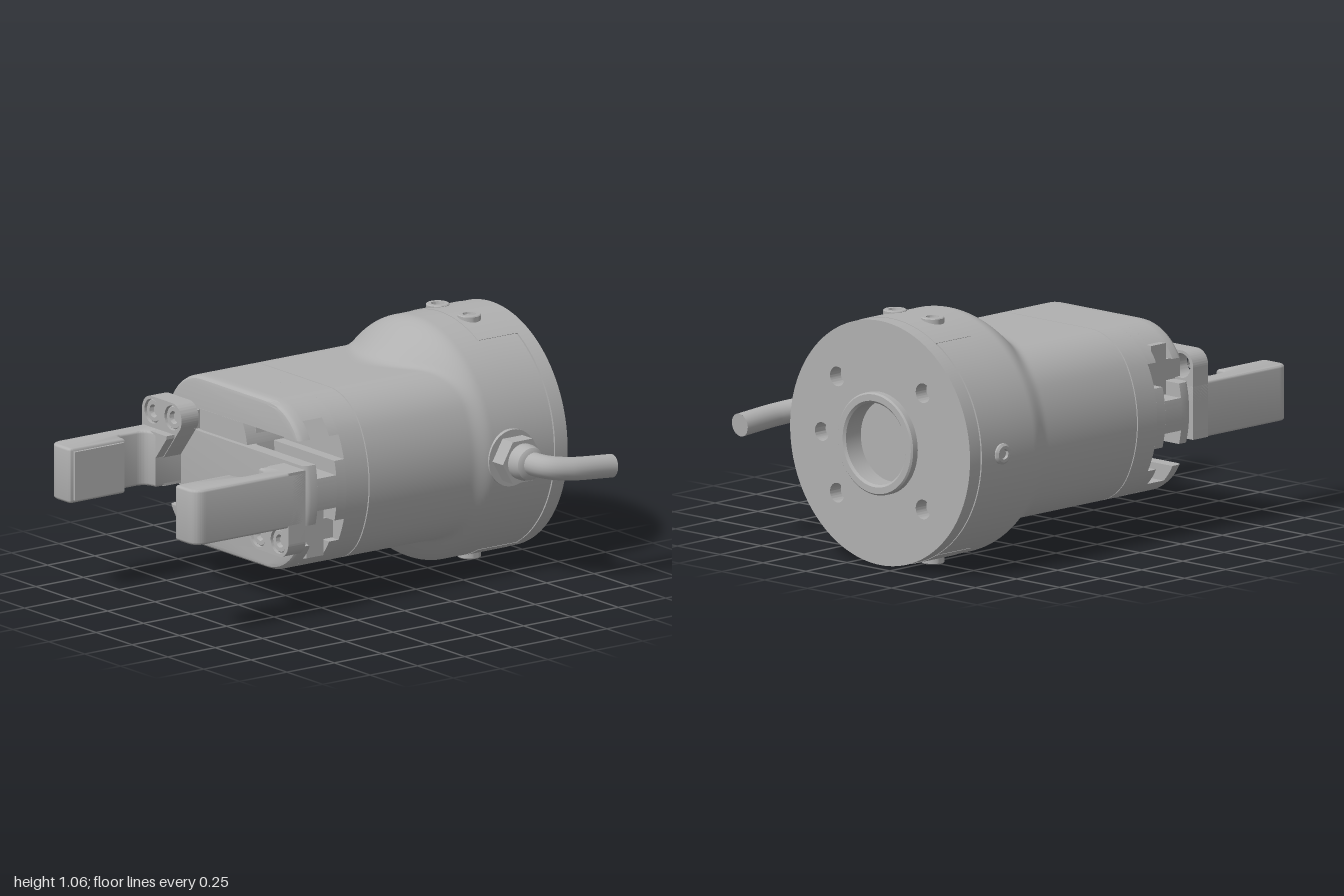
import * as THREE from 'three';
import { toCreasedNormals } from 'three/addons/utils/BufferGeometryUtils.js';

// Body section: circle of radius R cut by flats at +-H, blended with fillets F
const R = 0.508, H = 0.37, F = 0.25;
const CX = Math.sqrt((R - F) ** 2 - (H - F) ** 2), CY = H - F;

function sectionRadius(a) {
  const c = Math.abs(Math.cos(a)), s = Math.abs(Math.sin(a));
  const t = Math.atan2(s, c);
  if (t < Math.atan2(CY, CX)) return R;
  if (t > Math.atan2(H, CX)) return H / s;
  const d = CX * c + CY * s;
  return d + Math.sqrt(d * d - CX * CX - CY * CY + F * F);
}

// Half width of the section, shrunk by e, at height y
function halfWidth(y, e) {
  const a = Math.abs(y), f = F - e;
  if (a <= CY * R / (R - F)) return Math.sqrt((R - e) ** 2 - a * a);
  return CX + Math.sqrt(Math.max(0, f * f - (a - CY) ** 2));
}

// Closed skin over rings of equal length that run anticlockwise seen from +z
function loft(rings, crease = 0.5) {
  const n = rings[0].length, pos = rings.flat().flat(), idx = [];
  for (let i = 0; i < rings.length - 1; i++) {
    for (let j = 0; j < n; j++) {
      const a = i * n + j, b = i * n + (j + 1) % n;
      idx.push(a, b, b + n, a, b + n, a + n);
    }
  }
  const top = (rings.length - 1) * n;
  for (let j = 1; j < n - 1; j++) idx.push(0, j + 1, j, top, top + j, top + j + 1);
  const g = new THREE.BufferGeometry();
  g.setAttribute('position', new THREE.Float32BufferAttribute(pos, 3));
  g.setIndex(idx);
  return toCreasedNormals(g, crease);
}

function extrude(shape, z0, z1, bevel = 0) {
  const g = new THREE.ExtrudeGeometry(shape, {
    depth: z1 - z0 - 2 * bevel, curveSegments: 24, bevelEnabled: bevel > 0,
    bevelSize: bevel, bevelThickness: bevel, bevelOffset: -bevel, bevelSegments: 3,
  });
  g.translate(0, 0, z0 + bevel);
  return toCreasedNormals(g, 0.6);
}

function lathe(points, segments = 32) {
  return toCreasedNormals(new THREE.LatheGeometry(points.map(p => new THREE.Vector2(...p)), segments), 0.6);
}

function circlePath(x, y, r) {
  return new THREE.Path().absarc(x, y, r, 0, Math.PI * 2, true);
}

export function createModel() {
  const metal = new THREE.MeshStandardMaterial({ color: 0xb0b0b0 });
  metal.name = 'grey metal';
  const model = new THREE.Group();
  model.name = 'gripper';
  const core = new THREE.Group();
  core.name = 'gripperCore';
  core.position.set(-0.15, 0.53, 0);
  model.add(core);
  const add = (parent, name, geo) => {
    const m = new THREE.Mesh(geo, metal);
    m.name = name;
    parent.add(m);
    return m;
  };

  // Housing: flattened tube merging into a round, tapering rear
  const stations = [[-0.89, 0.01], [-0.883, 0.01], [-0.883, 0], [-0.72, 0]];
  for (let z = -0.57; z < -0.22; z += 0.0125) stations.push([z, 0]);
  stations.push([0, 0], [0.077, 0], [0.078, 0.006], [0.082, 0.006], [0.083, 0], [0.2, 0]);
  add(core, 'housing', loft(stations.map(([z, e]) => {
    const cone = 0.525 - 0.17 * THREE.MathUtils.smoothstep(z, -0.565, -0.24);
    const ring = [];
    for (let i = 0; i < 144; i++) {
      const a = i / 144 * Math.PI * 2, s = sectionRadius(a), k = 0.02;
      const blend = Math.max(k - Math.abs(s - cone), 0) / k;
      const r = Math.max(s, cone) + blend * blend * k / 4 - e;
      ring.push([r * Math.cos(a), r * Math.sin(a), z]);
    }
    return ring;
  })));

  // Front end: bands that leave two cross-shaped slide channels
  const band = (y0, y1, zs) => loft(zs.map(([z, e]) => {
    const right = [];
    for (let i = 0; i <= 20; i++) {
      const lim = H - e;
      const y = THREE.MathUtils.clamp(y0 + (y1 - y0) * (0.5 - 0.5 * Math.cos(i / 20 * Math.PI)), -lim, lim);
      right.push([halfWidth(y, e), y, z]);
    }
    return [...right, ...right.slice().reverse().map(([x, y]) => [-x, y, z])];
  }));
  const frontEdge = [[0.35, 0], [0.385, 0], [0.398, 0.004], [0.407, 0.012], [0.41, 0.024]];
  for (const [y0, y1] of [[-H, -0.23], [-0.13, 0.13], [0.23, H]]) {
    add(core, 'frontInnerBand', band(y0, y1, [[0.2, 0], [0.25, 0]]));
    add(core, 'frontOuterBand', band(y0, y1, frontEdge));
  }
  for (const [y0, y1] of [[-H, -0.3], [-0.07, 0.07], [0.3, H]]) {
    add(core, 'frontMiddleBand', band(y0, y1, [[0.25, 0], [0.35, 0]]));
  }

  // Rear flange with bolt holes and a centring ring
  const disc = new THREE.Shape().absarc(0, 0, 0.525, 0, Math.PI * 2);
  disc.holes.push(circlePath(0, 0, 0.176), circlePath(0.34, 0, 0.04));
  for (const x of [-0.25, 0.25]) for (const y of [-0.25, 0.25]) disc.holes.push(circlePath(x, y, 0.042));
  const flange = new THREE.ExtrudeGeometry(disc, { depth: 0.065, bevelEnabled: false, curveSegments: 72 });
  flange.translate(0, 0, -0.955);
  add(core, 'rearFlange', toCreasedNormals(flange, 0.6));
  const ring = lathe([[0.22, 0], [0.22, 0.028], [0.213, 0.035], [0.185, 0.035], [0.175, 0.025], [0.175, -0.065]], 64);
  add(core, 'centringRing', ring.rotateX(-Math.PI / 2)).position.z = -0.955;

  // Socket screw with its top at y = 0
  const screwGeo = lathe([[0.05, -0.05], [0.05, -0.004], [0.046, 0], [0.028, 0], [0.024, -0.02], [0, -0.02]]);
  const frontScrewGeo = screwGeo.clone().rotateX(Math.PI / 2);

  // Curved flange tabs with two screws, above and below
  const arc = new THREE.Shape();
  arc.absarc(0, 0, 0.527, Math.PI / 3, Math.PI * 2 / 3, false);
  arc.absarc(0, 0, 0.5, Math.PI * 2 / 3, Math.PI / 3, true);
  const tabGeo = extrude(arc, -0.89, -0.68);
  // Jaw foot plate with screw lug
  const foot = new THREE.Shape();
  foot.moveTo(-0.51, -0.12);
  foot.lineTo(-0.36, -0.12);
  foot.lineTo(-0.36, 0.005);
  foot.lineTo(-0.245, 0.15);
  foot.quadraticCurveTo(-0.235, 0.165, -0.235, 0.19);
  foot.absarc(-0.3, 0.19, 0.065, 0, Math.PI / 2, false);
  foot.absarc(-0.445, 0.19, 0.065, Math.PI / 2, Math.PI, false);
  foot.holes.push(circlePath(-0.44, 0.19, 0.053), circlePath(-0.3, 0.19, 0.053));
  const footGeo = extrude(foot, 0.417, 0.508);
  const gusset = new THREE.Shape([[-0.4, -0.04], [-0.36, 0.01], [-0.285, 0.105], [-0.285, 0.12], [-0.4, 0.12]]
    .map(p => new THREE.Vector2(...p)));
  const gussetGeo = extrude(gusset, 0.45, 0.55);

  // Finger side profile in x and z
  const side = new THREE.Shape();
  side.moveTo(-0.51, 0.417);
  side.lineTo(-0.51, 0.94);
  side.quadraticCurveTo(-0.51, 1, -0.45, 1);
  side.lineTo(-0.385, 1);
  side.quadraticCurveTo(-0.365, 1, -0.365, 0.98);
  side.lineTo(-0.365, 0.71);
  side.lineTo(-0.405, 0.705);
  side.quadraticCurveTo(-0.425, 0.7, -0.425, 0.68);
  side.lineTo(-0.425, 0.6);
  side.quadraticCurveTo(-0.42, 0.55, -0.36, 0.55);
  side.lineTo(-0.36, 0.417);
  const fingerGeo = extrude(side, -0.12, 0.12, 0.012).rotateX(Math.PI / 2);

  // Slide with a curved inner end
  const slide = (y0, y1, z0, z1) => {
    const s = new THREE.Shape();
    s.moveTo(-0.42, y0);
    s.lineTo(0.08, y0);
    s.quadraticCurveTo(0.073, (y0 + y1) / 2, 0.05, y1);
    s.lineTo(-0.42, y1);
    return extrude(s, z0, z1);
  };
  const slideGeo = slide(0.135, 0.225, 0.205, 0.4);
  const slideWingGeo = slide(0.075, 0.295, 0.255, 0.345);

  // Two identical halves, turned half a revolution about the axis
  for (let i = 0; i < 2; i++) {
    const half = new THREE.Group();
    half.name = i ? 'leftJawHalf' : 'rightJawHalf';
    half.rotation.z = i * Math.PI;
    core.add(half);
    add(half, 'flangeTab', tabGeo);
    for (const x of [-0.11, 0.11]) add(half, 'tabScrew', screwGeo).position.set(x, 0.529, -0.75);
    add(half, 'slide', slideGeo);
    add(half, 'slideWing', slideWingGeo);
    add(half, 'slideNeck', new THREE.BoxGeometry(0.17, 0.08, 0.05)).position.set(-0.335, 0.18, 0.405);
    add(half, 'jawFoot', footGeo);
    add(half, 'jawGusset', gussetGeo);
    add(half, 'jawFinger', fingerGeo);
    add(half, 'jawPad', new THREE.BoxGeometry(0.02, 0.21, 0.26)).position.set(-0.364, 0, 0.85);
    for (const x of [-0.44, -0.3]) add(half, 'jawScrew', frontScrewGeo).position.set(x, 0.19, 0.5);
  }

  // Side plug opposite the cable
  const plug = add(core, 'sidePlug', lathe([[0.045, -0.03], [0.045, 0.008], [0.035, 0.016], [0.022, 0.016], [0.02, 0.004], [0, 0.004]]));
  plug.rotation.z = Math.PI / 2;
  plug.position.set(-0.524, 0, -0.76);

  // Cable gland: washer, hex nut, collar, then the bent cable
  const gland = new THREE.Group();
  gland.name = 'cableGland';
  gland.rotation.z = -Math.PI / 2;
  gland.position.set(0.37, 0.535, -0.66);
  model.add(gland);
  add(gland, 'washer', new THREE.CylinderGeometry(0.123, 0.123, 0.04, 40)).position.y = -0.01;
  add(gland, 'hexNut', toCreasedNormals(new THREE.CylinderGeometry(0.105, 0.105, 0.075, 6), 0.3)).position.y = 0.045;
  add(gland, 'collar', lathe([[0.078, 0.08], [0.078, 0.11], [0.07, 0.14], [0.055, 0.15], [0, 0.15]]));
  const path = new THREE.CatmullRomCurve3([[0.42, 0.538, -0.66], [0.5, 0.538, -0.662], [0.575, 0.53, -0.695],
    [0.615, 0.518, -0.78], [0.63, 0.5, -0.995]].map(p => new THREE.Vector3(...p)));
  add(model, 'cable', new THREE.TubeGeometry(path, 40, 0.05, 20));
  const end = add(model, 'cableEnd', new THREE.CircleGeometry(0.05, 20));
  end.position.copy(path.getPoint(1));
  end.lookAt(path.getPoint(1).add(path.getTangent(1)));
  return model;
}
